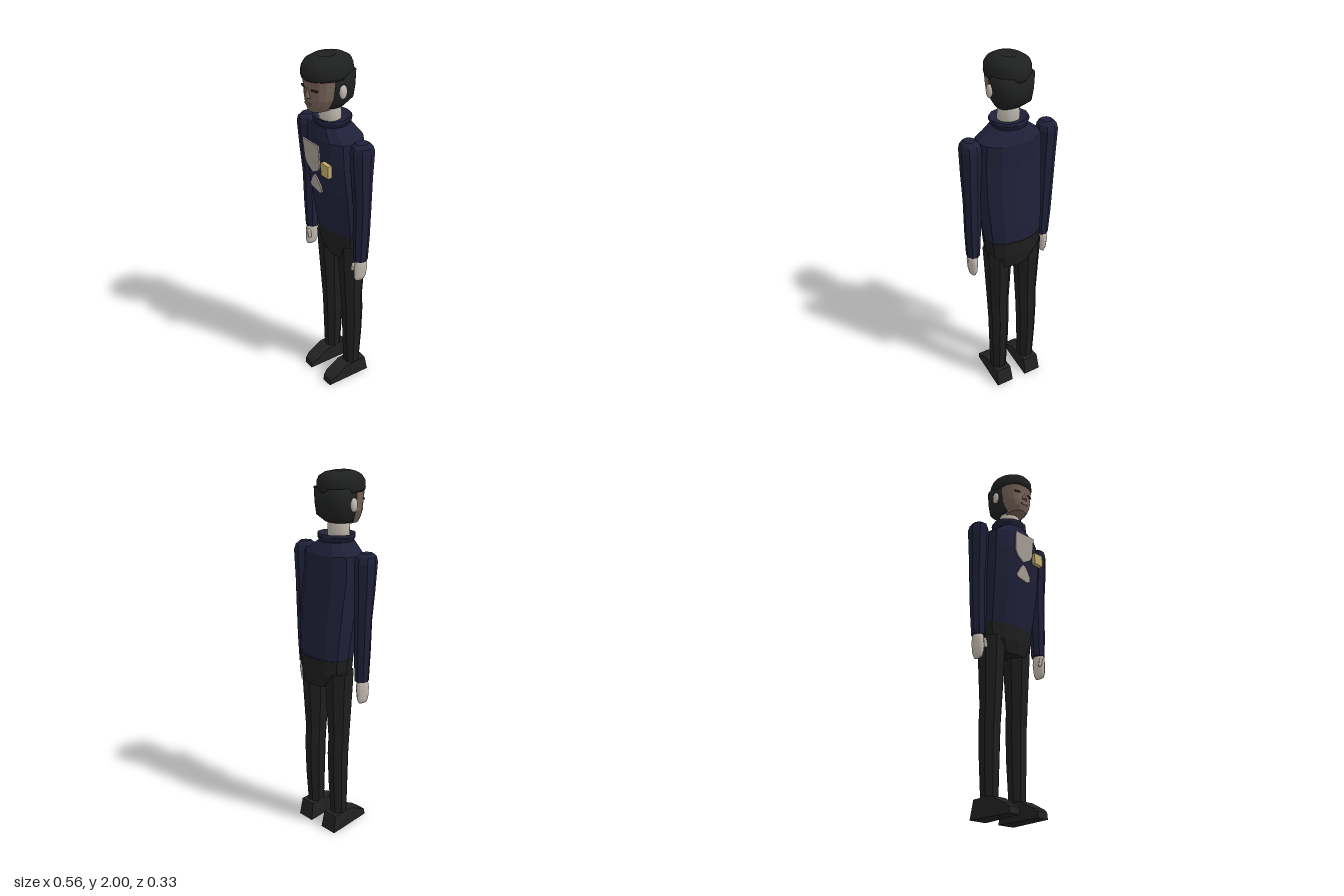
import * as THREE from 'three';

const paint = (name, color) => {
  const m = new THREE.MeshStandardMaterial({ color });
  m.name = name;
  return m;
};

// Skin over rings [y, centreX, centreZ, radiusX, radiusZ], listed bottom to top.
// power < 1 squares the section; flat gives faceted normals.
function loft(rings, sides, { flat = true, power = 1, turn = 0 } = {}) {
  const pos = [], index = [];
  const bend = v => Math.sign(v) * Math.pow(Math.abs(v), power);
  for (const [y, cx, cz, rx, rz] of rings) {
    for (let i = 0; i < sides; i++) {
      const a = ((i + turn) / sides) * Math.PI * 2;
      pos.push(cx + rx * bend(Math.sin(a)), y, cz + rz * bend(Math.cos(a)));
    }
  }
  for (let r = 0; r < rings.length - 1; r++) {
    for (let i = 0; i < sides; i++) {
      const a = r * sides + i, b = r * sides + (i + 1) % sides;
      index.push(a, b, b + sides, a, b + sides, a + sides);
    }
  }
  // End caps
  const last = (rings.length - 1) * sides;
  [0, last].forEach((start, top) => {
    const [y, cx, cz] = rings[top ? rings.length - 1 : 0];
    const centre = pos.length / 3;
    pos.push(cx, y, cz);
    for (let i = 0; i < sides; i++) {
      const a = start + i, b = start + (i + 1) % sides;
      index.push(centre, ...(top ? [a, b] : [b, a]));
    }
  });
  let g = new THREE.BufferGeometry();
  g.setAttribute('position', new THREE.Float32BufferAttribute(pos, 3));
  g.setIndex(index);
  if (flat) g = g.toNonIndexed();
  g.computeVertexNormals();
  return g;
}

const outline = points => new THREE.Shape(points.map(p => new THREE.Vector2(...p)));

export function createModel() {
  const model = new THREE.Group();
  const navy = paint('navy cloth', 0x1f2039);
  const black = paint('black cloth', 0x1e1e1e);
  const shoe = paint('shoe leather', 0x222222);
  const hairMat = paint('dark hair', 0x1f2020);
  const skin = paint('pale skin', 0xc2bab0);
  const faceMat = paint('face brown', 0x77645a);
  const shirt = paint('shirt grey', 0xa99f98);
  const gold = paint('badge gold', 0xc0aa6c);
  const eyeMat = paint('eye dark', 0x2c2422);

  const add = (name, geometry, material, parent = model) => {
    const mesh = new THREE.Mesh(geometry, material);
    mesh.name = name;
    parent.add(mesh);
    return mesh;
  };

  // Jacket, collar and trouser top
  add('jacket', loft([
    [1.02, 0.02, -0.055, 0.163, 0.108],
    [1.12, 0.02, -0.045, 0.170, 0.118],
    [1.30, 0.02, -0.024, 0.182, 0.126],
    [1.48, 0.012, -0.005, 0.182, 0.122],
    [1.59, 0.01, -0.006, 0.175, 0.118],
    [1.65, 0, 0.003, 0.09, 0.09],
  ], 12, { power: 0.88 }), navy);
  add('collar', loft([
    [1.64, 0, 0.002, 0.085, 0.085],
    [1.675, 0, 0.002, 0.105, 0.098],
    [1.69, 0, 0.004, 0.103, 0.096],
    [1.675, 0, 0.006, 0.075, 0.07],
  ], 12), navy);
  add('hips', loft([
    [0.875, 0.035, -0.055, 0.115, 0.092],
    [0.95, 0.02, -0.055, 0.155, 0.108],
    [1.04, 0.02, -0.055, 0.166, 0.111],
  ], 12, { power: 0.88 }), black);

  // Shirt panels and badge on the chest
  const panel = (name, points, y, z, tilt) => {
    const g = new THREE.ExtrudeGeometry(outline(points), { depth: 0.008, bevelEnabled: false });
    const mesh = add(name, g, shirt);
    mesh.position.set(0, y, z);
    mesh.rotation.x = tilt;
  };
  panel('shirtFront', [[-0.068, 0.175], [-0.062, 0.06], [-0.045, 0.03], [0, 0], [0.05, 0.03],
    [0.063, 0.06], [0.066, 0.175]], 1.4, 0.118, 0.08);
  panel('lowerShirtPatch', [[-0.04, 0.03], [-0.035, 0.015], [0.04, 0], [0.058, 0.012], [0.056, 0.04],
    [0.025, 0.085], [0.005, 0.1], [-0.012, 0.085]], 1.29, 0.104, 0.1);
  add('badge', new THREE.BoxGeometry(0.06, 0.068, 0.024), gold).position.set(0.109, 1.456, 0.122);

  // Arms and hands
  for (const [side, s, top, bottom] of [['right', -1, -0.222, -0.205], ['left', 1, 0.228, 0.232]]) {
    const arm = new THREE.Group();
    arm.name = side + 'Arm';
    model.add(arm);
    const cx = y => THREE.MathUtils.mapLinear(y, 0.93, 1.6, bottom, top);
    const sleeve = [
      [0.93, -0.01, 0.037, 0.040], [1.08, -0.012, 0.044, 0.045], [1.27, -0.014, 0.047, 0.048],
      [1.42, -0.009, 0.052, 0.056], [1.57, -0.008, 0.055, 0.066], [1.6, -0.006, 0.049, 0.056],
      [1.617, -0.005, 0.03, 0.034],
    ].map(([y, z, rx, rz]) => [y, cx(y), z, rx, rz]);
    add(side + 'Sleeve', loft(sleeve, 8, { turn: 0.25 }), navy, arm);
    const hx = bottom + s * 0.004;
    add(side + 'Hand', loft([
      [0.805, hx, -0.004, 0.014, 0.03],
      [0.83, hx, -0.006, 0.02, 0.041],
      [0.89, hx, -0.008, 0.026, 0.044],
      [0.945, hx, -0.01, 0.026, 0.03],
    ], 8, { flat: false }), skin, arm);
    const thumb = add(side + 'Thumb', new THREE.CapsuleGeometry(0.01, 0.035, 3, 6), skin, arm);
    thumb.position.set(hx - s * 0.022, 0.885, 0.026);
    thumb.rotation.z = -s * 0.2;
  }

  // Legs and shoes
  for (const [side, hip, ankle] of [['right', -0.078, -0.078], ['left', 0.103, 0.11]]) {
    const leg = new THREE.Group();
    leg.name = side + 'Leg';
    model.add(leg);
    const cx = y => THREE.MathUtils.mapLinear(y, 0.08, 0.95, ankle, hip);
    const trouser = [
      [0.07, -0.055, 0.046, 0.048], [0.3, -0.06, 0.054, 0.059], [0.48, -0.06, 0.058, 0.064],
      [0.58, -0.053, 0.060, 0.064], [0.86, -0.052, 0.074, 0.082], [0.96, -0.05, 0.08, 0.084],
    ].map(([y, z, rx, rz]) => [y, cx(y), z, rx, rz]);
    add(side + 'Trouser', loft(trouser, 8, { turn: 0.5 }), black, leg);

    const profile = outline([[-0.142, 0], [0.13, 0], [0.125, 0.035], [0.095, 0.055], [0.01, 0.1], [-0.125, 0.1]]);
    const g = new THREE.ExtrudeGeometry(profile, { depth: 0.104, bevelEnabled: false });
    g.rotateY(-Math.PI / 2).translate(0.052, 0, 0);
    // Narrow the toe and the top edge
    const p = g.attributes.position;
    for (let i = 0; i < p.count; i++) {
      const toe = p.getZ(i) > 0.11 ? 0.62 : 1;
      p.setX(i, p.getX(i) * toe * (p.getY(i) > 0.05 ? 0.86 : 1));
    }
    g.computeVertexNormals();
    add(side + 'Shoe', g, shoe, leg).position.x = ankle;
  }

  // Head
  const head = new THREE.Group();
  head.name = 'head';
  model.add(head);
  add('neck', loft([[1.65, -0.004, 0.014, 0.06, 0.056], [1.78, -0.006, 0.014, 0.056, 0.055]], 16, { flat: false }), skin, head);
  add('face', loft([
    [1.735, -0.007, 0.068, 0.05, 0.066],
    [1.765, -0.007, 0.067, 0.068, 0.077],
    [1.80, -0.007, 0.065, 0.085, 0.08],
    [1.85, -0.007, 0.062, 0.093, 0.082],
    [1.92, -0.007, 0.06, 0.098, 0.095],
  ], 16, { power: 0.9 }), faceMat, head);
  const nose = add('nose', new THREE.ConeGeometry(0.02, 0.06, 4), faceMat, head);
  nose.position.set(-0.007, 1.838, 0.144);
  nose.scale.z = 0.9;
  add('mouth', new THREE.BoxGeometry(0.045, 0.01, 0.009), faceMat, head).position.set(-0.007, 1.778, 0.143);

  for (const s of [-1, 1]) {
    const side = s < 0 ? 'right' : 'left';
    const eye = add(side + 'Eye', new THREE.BoxGeometry(0.036, 0.009, 0.008), eyeMat, head);
    eye.position.set(-0.007 + s * 0.046, 1.853, 0.137);
    eye.rotation.y = s * 0.3;
    const ear = add(side + 'Ear', new THREE.SphereGeometry(1, 10, 8), skin, head);
    ear.scale.set(0.014, 0.036, 0.023);
    ear.position.set(-0.006 + s * 0.108, 1.838, 0.014);
  }

  // Hair: squared lower shell and smooth dished crown
  add('lowerHair', loft([
    [1.745, -0.007, 0.015, 0.07, 0.06],
    [1.785, -0.007, -0.01, 0.092, 0.088],
    [1.84, -0.007, -0.01, 0.103, 0.092],
    [1.92, -0.007, -0.01, 0.108, 0.094],
  ], 20, { flat: false, power: 0.72 }), hairMat, head);
  add('hairCrown', loft([
    [1.898, -0.008, 0.028, 0.108, 0.132],
    [1.915, -0.008, 0.028, 0.112, 0.137],
    [1.95, -0.008, 0.027, 0.111, 0.134],
    [1.975, -0.009, 0.023, 0.1, 0.119],
    [1.992, -0.01, 0.022, 0.073, 0.088],
    [2.0, -0.011, 0.028, 0.04, 0.052],
    [1.993, -0.011, 0.03, 0.032, 0.042],
  ], 24, { flat: false }), hairMat, head);

  return model;
}
